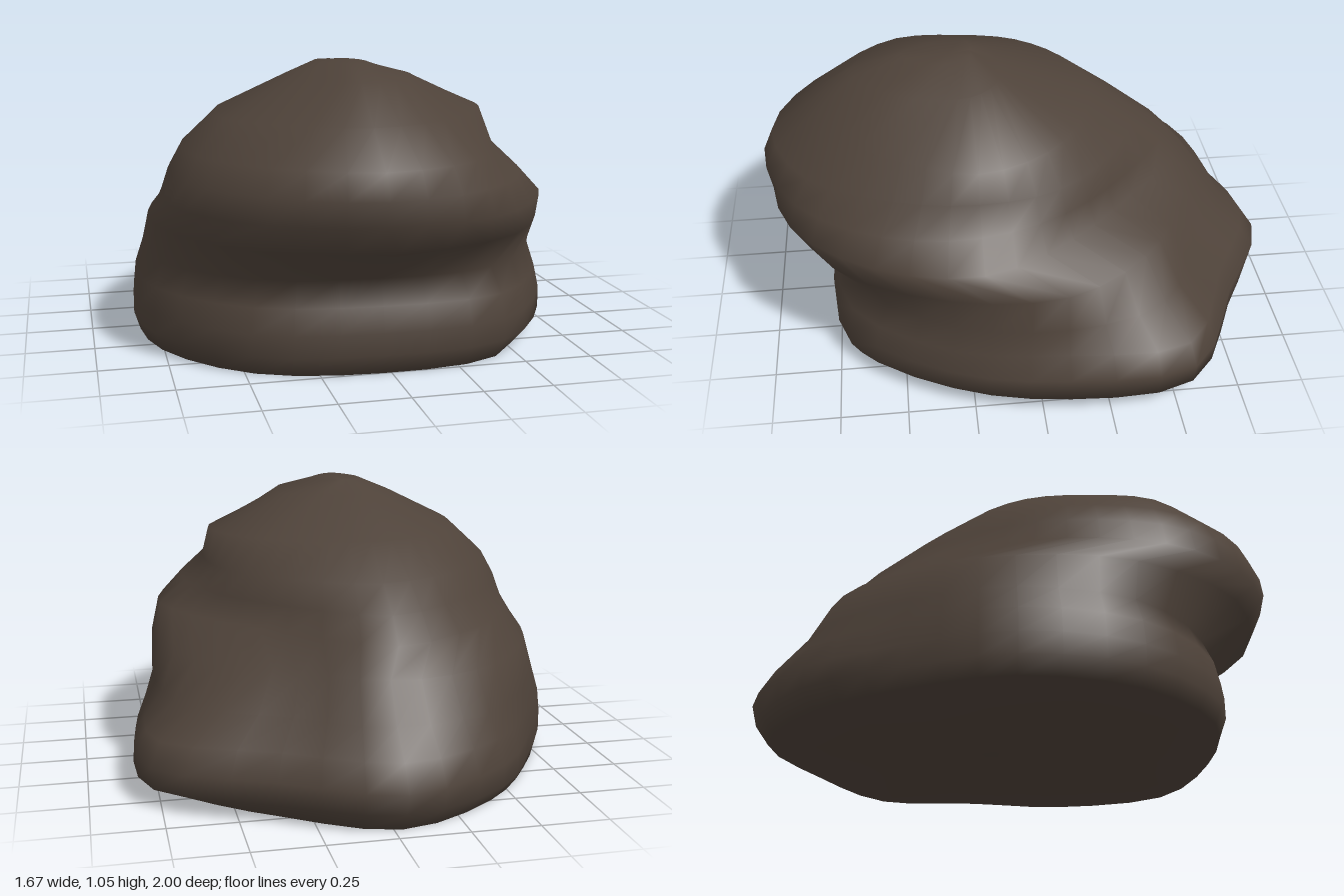
import * as THREE from 'three';

const SEGMENTS = 36;

// Each row: height, then 12 radii every 30 degrees, from +x round through +z
const baseRows = [
  [0.00, .64, .74, .89, .85, .87, .84, .78, .71, .75, .83, .74, .76],
  [0.07, .85, .86, .93, .87, .90, .87, .80, .73, .81, .88, .81, .93],
  [0.15, .84, .86, .93, .87, .90, .87, .80, .73, .81, .90, .81, .94],
  [0.24, .80, .84, .91, .85, .88, .86, .79, .72, .78, .84, .76, .90],
  [0.33, .76, .81, .86, .81, .84, .83, .76, .70, .73, .74, .64, .75],
  [0.47, .74, .83, .97, 1.03, .98, .85, .72, .67, .67, .65, .57, .63],
];
const crownRows = [
  [0.57, .76, .78, .80, .77, .75, .71, .66, .66, .75, .87, .69, .68],
  [0.66, .66, .71, .77, .80, .74, .69, .63, .62, .67, .79, .66, .63],
  [0.75, .58, .61, .71, .76, .70, .64, .58, .57, .60, .66, .61, .60],
  [0.87, .56, .53, .56, .60, .55, .52, .45, .45, .46, .48, .48, .52],
  [1.00, .26, .30, .38, .44, .32, .23, .19, .16, .13, .12, .14, .20],
  [1.05, .06, .10, .18, .25, .15, .09, .07, .04, .02, .01, .02, .04],
];

// Smooth closed outline through the twelve radii of a row
function outline([y, ...radii], cx, cz) {
  const points = radii.map((r, i) => {
    const a = i * Math.PI / 6;
    return new THREE.Vector3(cx + r * Math.cos(a), y, cz + r * Math.sin(a));
  });
  const curve = new THREE.CatmullRomCurve3(points, true, 'centripetal');
  return Array.from({ length: SEGMENTS }, (_, i) => curve.getPoint(i / SEGMENTS));
}

export function createModel() {
  const stone = new THREE.MeshStandardMaterial({ color: 0x4e4239 });
  stone.name = 'dark brown stone';
  const group = new THREE.Group();
  group.name = 'rock';

  const rings = [
    ...baseRows.map((row) => outline(row, -0.03, -0.1)),
    ...crownRows.map((row) => outline(row, -0.08, 0.2)),
  ];

  // Boulder side, with a groove under the overhanging front
  const points = rings.flat();
  const index = [];
  for (let k = 0; k < rings.length - 1; k++) {
    for (let i = 0; i < SEGMENTS; i++) {
      const j = (i + 1) % SEGMENTS;
      const a = k * SEGMENTS + i, b = k * SEGMENTS + j;
      const c = a + SEGMENTS, d = b + SEGMENTS;
      index.push(a, c, b, b, c, d);
    }
  }

  // Rounded top and flat underside
  const apex = points.length, floor = apex + 1;
  const last = apex - SEGMENTS;
  points.push(new THREE.Vector3(-0.05, 1.055, 0.27), new THREE.Vector3(-0.03, 0, -0.1));
  for (let i = 0; i < SEGMENTS; i++) {
    const j = (i + 1) % SEGMENTS;
    index.push(last + i, apex, last + j, floor, i, j);
  }

  const geometry = new THREE.BufferGeometry().setFromPoints(points);
  geometry.setIndex(index);
  geometry.computeVertexNormals();
  const boulder = new THREE.Mesh(geometry, stone);
  boulder.name = 'boulder';
  group.add(boulder);
  return group;
}
